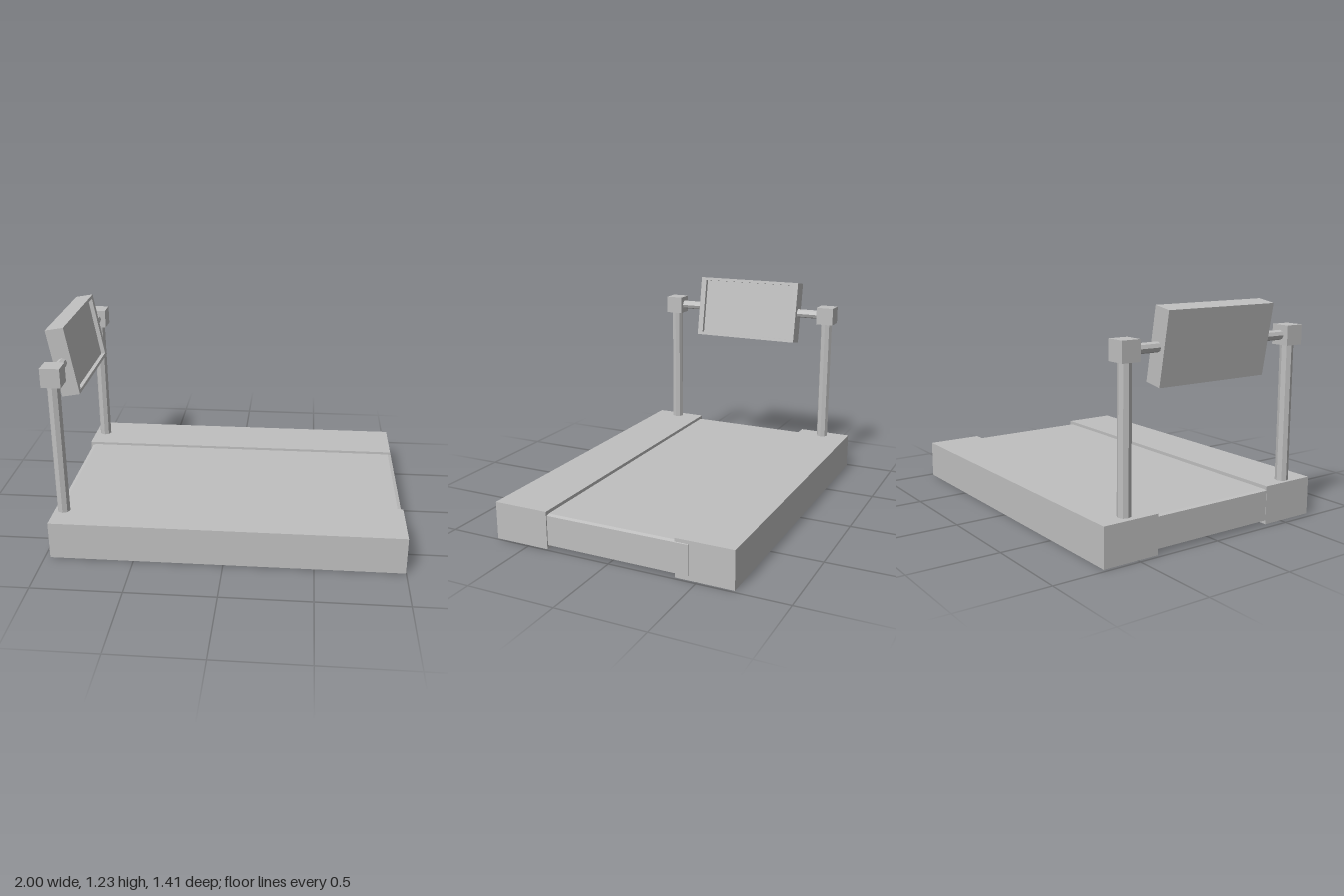
import * as THREE from 'three';

export function createModel() {
  const model = new THREE.Group();
  model.name = 'treadmill';
  const gray = new THREE.MeshStandardMaterial({ color: 0xbfbfbf });
  gray.name = 'plain gray';

  const add = (name, geometry, parent = model) => {
    const mesh = new THREE.Mesh(geometry, gray);
    mesh.name = name;
    parent.add(mesh);
    return mesh;
  };
  // Box given by its lower and upper corners
  const box = (name, [x0, y0, z0], [x1, y1, z1]) =>
    add(name, new THREE.BoxGeometry(x1 - x0, y1 - y0, z1 - z0))
      .position.set((x0 + x1) / 2, (y0 + y1) / 2, (z0 + z1) / 2);
  // Faceted eight-sided rod
  const rod = (radius, length) => {
    const g = new THREE.CylinderGeometry(radius, radius, length, 8).toNonIndexed();
    g.computeVertexNormals();
    return g;
  };

  // Side rails
  box('frontRail', [-0.967, 0.004, 0.378], [0.997, 0.219, 0.703]);
  box('backRail', [-0.979, 0, -0.703], [0.985, 0.215, -0.377]);

  // Running deck, with its top edges slightly chamfered at both ends
  const profile = new THREE.Shape([
    [-0.965, 0.026], [0.99, 0.026], [0.99, 0.194],
    [0.97, 0.2], [-0.945, 0.2], [-0.965, 0.194],
  ].map(([x, y]) => new THREE.Vector2(x, y)));
  add('deck', new THREE.ExtrudeGeometry(profile, { depth: 0.904, bevelEnabled: false }))
    .position.z = -0.452;

  // Uprights with cube joints on top
  const postX = -0.915;
  for (const [side, z] of [['front', 0.543], ['back', -0.539]]) {
    add(side + 'Post', rod(0.036, 0.79)).position.set(postX, 0.595, z);
    add(side + 'Joint', new THREE.BoxGeometry(0.108, 0.108, 0.108)).position.set(postX, 1.03, z);
    // Short bar carrying the console
    const bar = add(side + 'Bar', rod(0.027, 0.2));
    bar.rotation.x = Math.PI / 2;
    bar.position.set(postX, 1.03, Math.sign(z) * 0.415 + 0.002);
  }

  // Tilted console: back block, frame around the opening, recessed screen
  const console = new THREE.Group();
  console.name = 'console';
  console.position.set(-0.914, 1.03, 0.003);
  console.rotation.z = THREE.MathUtils.degToRad(10);
  model.add(console);

  const rect = (target, w, h) => {
    target.moveTo(-w, -h);
    target.lineTo(w, -h);
    target.lineTo(w, h);
    target.lineTo(-w, h);
    target.closePath();
    return target;
  };
  const halfDepth = 0.052, recess = 0.025;
  const outline = rect(new THREE.Shape(), 0.345, 0.1945);
  outline.holes.push(rect(new THREE.Path(), 0.31, 0.177));
  const frame = new THREE.ExtrudeGeometry(outline, { depth: 2 * halfDepth, bevelEnabled: false });
  frame.rotateY(Math.PI / 2);
  add('consoleFrame', frame, console).position.x = -halfDepth;
  add('screen', new THREE.BoxGeometry(2 * halfDepth - recess, 0.354, 0.62), console)
    .position.x = -recess / 2;

  return model;
}
